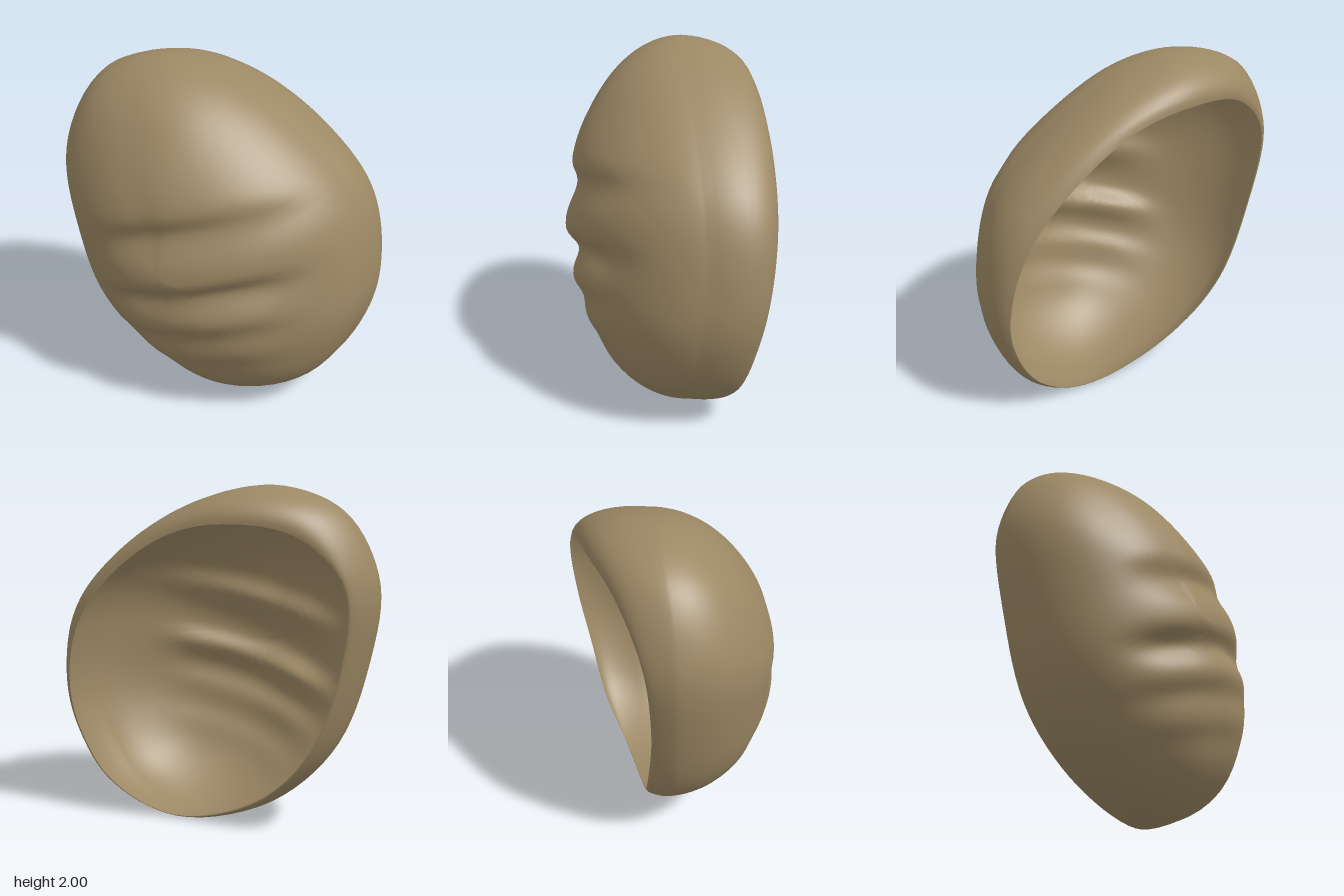
import * as THREE from 'three';

const V = (p) => new THREE.Vector3(...p);
const ring = (pts) => new THREE.CatmullRomCurve3(pts.map(V), true, 'centripetal');

// Widest outline of the shell, clockwise from the top as seen from the front
const outline = ring([
  [-0.35, 2, 0.06], [0, 1.94, -0.02], [0.42, 1.69, -0.17], [0.74, 1.35, -0.29],
  [0.85, 0.95, -0.33], [0.84, 0.58, -0.29], [0.64, 0.19, -0.2], [0.22, 0, -0.07],
  [-0.27, 0.15, 0.07], [-0.61, 0.49, 0.19], [-0.79, 1.0, 0.25], [-0.85, 1.5, 0.25],
  [-0.68, 1.87, 0.17],
]);
// Edge of the opening at the back, point for point with the outline
const rim = ring([
  [-0.3, 1.81, -0.32], [0, 1.74, -0.45], [0.32, 1.52, -0.57], [0.58, 1.2, -0.64],
  [0.69, 0.85, -0.63], [0.69, 0.55, -0.57], [0.55, 0.22, -0.45], [0.25, 0.02, -0.23],
  [-0.23, 0.16, -0.04], [-0.58, 0.5, 0.05], [-0.77, 1.03, 0.11], [-0.81, 1.49, 0.07],
  [-0.62, 1.75, -0.1],
]);
const centre = V([0, 1.02, 0]);
const bulge = V([0.14, -0.01, 0.625]);

// Slanting folds pressed into the front: height at x = 0, depth, half width
const folds = [[1.18, 0.06, 0.11], [0.79, 0.075, 0.085], [0.51, 0.035, 0.08], [0.27, 0.02, 0.08]];

function foldDepth(p) {
  const mask = THREE.MathUtils.smoothstep(p.x, -0.45, 0)
    * (1 - THREE.MathUtils.smoothstep(p.x, 0.58, 0.86));
  let depth = -0.025; // the ridges between folds stand a little proud
  for (const [y, d, w] of folds) {
    const q = p.y - 0.3 * p.x - y;
    const width = q > 0 ? w * 0.75 : w * 1.3; // steep above, gentle below
    depth += d * Math.exp(-((q / width) ** 2));
  }
  return depth * mask * (1 - THREE.MathUtils.smoothstep(p.y, 1.4, 1.75));
}

function shellPoint(u, row, curlRows, domeRows) {
  const o = outline.getPoint(u);
  if (row < curlRows) {
    // Curl from the rim round to the widest outline
    const a = (1 - row / curlRows) * Math.PI / 2;
    const r = rim.getPoint(u);
    const k = 1 - Math.cos(a);
    return V([o.x + (r.x - o.x) * k, o.y + (r.y - o.y) * k, o.z + (r.z - o.z) * Math.sin(a)]);
  }
  // Domed front, slightly fuller than an ellipsoid
  const a = (row - curlRows) / domeRows * Math.PI / 2;
  const spread = Math.max(Math.cos(a), 0) ** 0.93;
  const p = o.sub(centre).multiplyScalar(spread).add(centre).addScaledVector(bulge, Math.sin(a));
  const lumps = 0.008 * Math.sin(7 * p.x + 3 * p.y) * Math.sin(6 * p.y - 2 * p.x);
  return p.addScaledVector(V([0.25, 0, 0.97]), Math.sin(a) * (lumps - foldDepth(p)));
}

function shellGeometry(around = 96, curlRows = 10, domeRows = 48) {
  const positions = [], index = [];
  const rows = curlRows + domeRows;
  for (let j = 0; j < rows; j++) {
    for (let i = 0; i < around; i++) {
      positions.push(...shellPoint(i / around, j, curlRows, domeRows).toArray());
    }
  }
  const pole = rows * around;
  positions.push(...shellPoint(0, rows, curlRows, domeRows).toArray());
  for (let j = 0; j < rows; j++) {
    for (let i = 0; i < around; i++) {
      const n = (i + 1) % around;
      const a = j * around + i, b = j * around + n;
      if (j === rows - 1) index.push(a, pole, b);
      else index.push(a, a + around, b, b, a + around, b + around);
    }
  }
  const geometry = new THREE.BufferGeometry();
  geometry.setAttribute('position', new THREE.Float32BufferAttribute(positions, 3));
  geometry.setIndex(index);
  geometry.center();
  geometry.computeBoundingBox();
  geometry.translate(0, -geometry.boundingBox.min.y, 0);
  geometry.computeVertexNormals();
  return geometry;
}

export function createModel() {
  const group = new THREE.Group();
  group.name = 'hollowShell';
  const tan = new THREE.MeshStandardMaterial({ color: 0x9c8864, side: THREE.DoubleSide });
  tan.name = 'tan';
  const shell = new THREE.Mesh(shellGeometry(), tan);
  shell.name = 'foldedShell';
  group.add(shell);
  return group;
}
